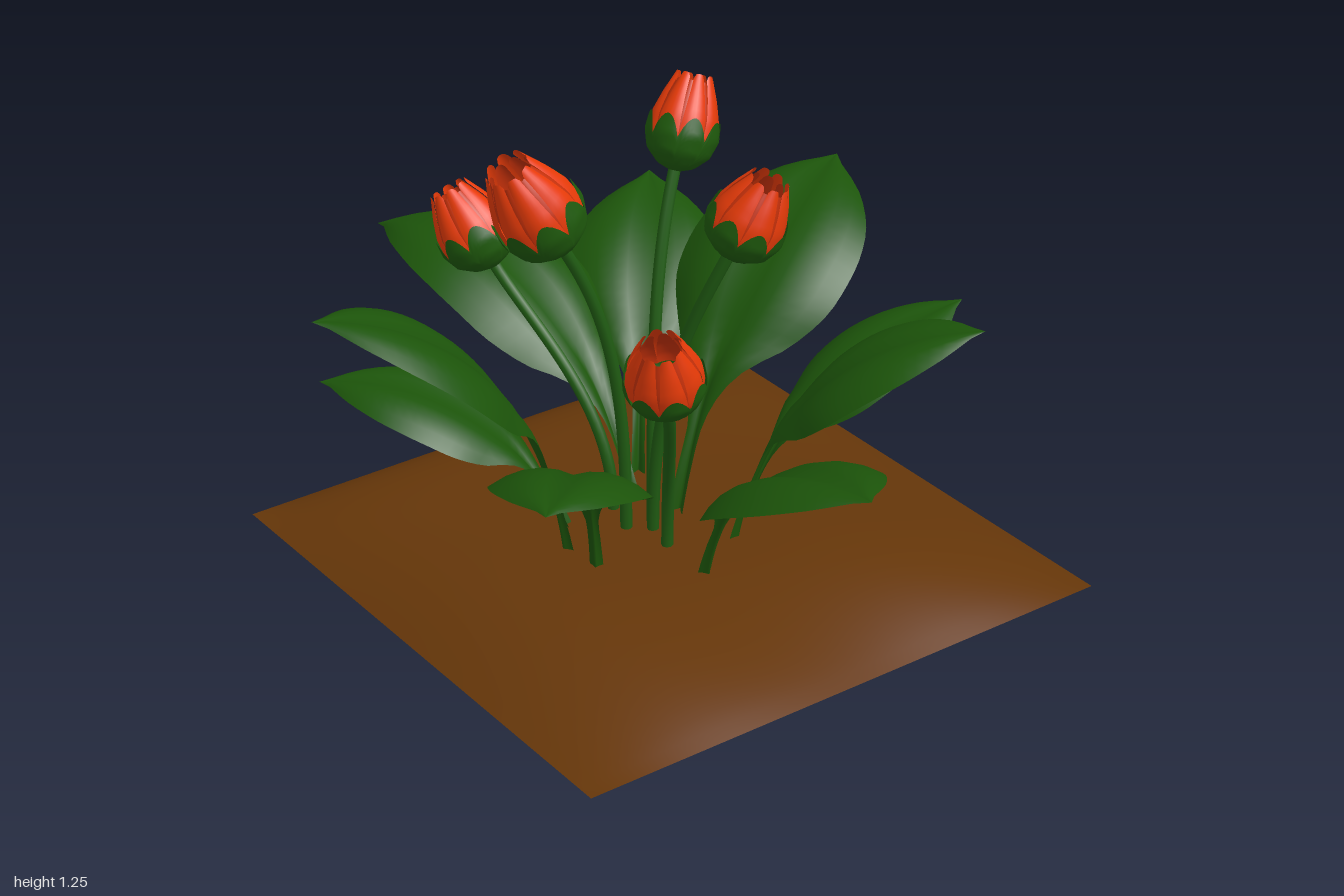
import * as THREE from 'three';

const V = (x, y, z) => new THREE.Vector3(x, y, z);
const mat = (color) => new THREE.MeshStandardMaterial({ color, side: THREE.DoubleSide });
const leafGreen = mat(0x1c540a), stemGreen = mat(0x1f5a12), sepalGreen = mat(0x1e580c);
const petalOuter = mat(0xe63a08), petalInner = mat(0xc4300a), yellow = mat(0xd0a810), brown = mat(0x653609);

// Smooth grid surface from a rule fn(u, v) -> point
function sheet(nu, nv, fn) {
  const pos = [], idx = [];
  for (let j = 0; j <= nv; j++)
    for (let i = 0; i <= nu; i++) pos.push(...fn(i / nu, j / nv).toArray());
  for (let j = 0; j < nv; j++)
    for (let i = 0; i < nu; i++) {
      const a = j * (nu + 1) + i, b = a + 1, c = a + nu + 1, d = c + 1;
      idx.push(a, c, b, b, c, d);
    }
  const g = new THREE.BufferGeometry();
  g.setAttribute('position', new THREE.Float32BufferAttribute(pos, 3));
  g.setIndex(idx);
  g.computeVertexNormals();
  return g;
}

function mesh(geo, material, name) {
  const m = new THREE.Mesh(geo, material);
  m.name = name;
  return m;
}

// Soil mound: flat square edge, uneven raised middle, steeper on one side
const SX = 0.045, SZ = -0.06, HALF = 0.788;
function soil() {
  const g = new THREE.Group();
  g.name = 'soil';
  g.add(mesh(sheet(40, 40, (u, v) => {
    const a = u * 2 - 1, b = v * 2 - 1;
    const x = SX + a * HALF, z = SZ + b * HALF;
    const edge = (1 - Math.abs(a) ** (a < 0 ? 7 : 4.5)) * (1 - Math.abs(b) ** 4.5);
    const bumps = 0.088 + 0.01 * Math.sin(5 * x + 2 * z) + 0.012 * Math.cos(8 * (z - 0.5) + 1.5 * x);
    return V(x, edge * bumps, z);
  }), brown, 'soilTop'));
  const base = mesh(new THREE.PlaneGeometry(HALF * 2, HALF * 2), brown, 'soilBottom');
  base.rotation.x = Math.PI / 2;
  base.position.set(SX, 0, SZ);
  g.add(base);
  return g;
}

// Relative leaf width along the midrib: narrow stalk, broad blade, pointed tip
const leafWidth = new THREE.SplineCurve(
  [0.09, 0.08, 0.1, 0.29, 0.68, 0.93, 1, 0.97, 0.82, 0.5, 0].map((w, i) => new THREE.Vector2(w, i / 10)));

// Arching leaf: channelled stalk, grooved midrib, drooping edges.
// bulge lifts the arch, bend shifts it sideways
function leaf(base, tip, width, bulge, bend = 0) {
  const b = V(...base), t = V(...tip);
  const run = V(t.x - b.x, 0, t.z - b.z), rise = t.y - b.y;
  const side = V(0, 1, 0).cross(run).normalize();
  const p1 = b.clone().add(V(run.x * 0.1, rise * 0.6, run.z * 0.1)).addScaledVector(side, bend / 2);
  const p2 = b.clone().add(V(run.x * 0.5, rise + bulge, run.z * 0.5)).addScaledVector(side, bend);
  const rib = new THREE.CubicBezierCurve3(b, p1, p2, t);
  return mesh(sheet(10, 28, (u, v) => {
    const s = u * 2 - 1, w = leafWidth.getPoint(v).x * width / 2;
    const up = rib.getTangent(v).cross(side).normalize();
    const fold = 0.4 + 1.4 * Math.max(0, 1 - v / 0.4);
    return rib.getPoint(v).addScaledVector(side, s * w)
      .addScaledVector(up, w * (fold * Math.abs(s) - 0.6 * s * s));
  }), leafGreen, 'leaf');
}

// Bud outline: radius against height, for a bud 0.25 tall
const budProfile = [[0, 0.012], [0.012, 0.048], [0.045, 0.085], [0.09, 0.101],
  [0.14, 0.097], [0.19, 0.08], [0.25, 0.053]];
function budRadius(h) {
  let i = 0;
  while (i < budProfile.length - 2 && h > budProfile[i + 1][0]) i++;
  const [h0, r0] = budProfile[i], [h1, r1] = budProfile[i + 1];
  return r0 + (r1 - r0) * (h - h0) / (h1 - h0);
}
const onBud = (angle, h, offset) => {
  const r = Math.max(budRadius(h) + offset, 0);
  return V(r * Math.cos(angle), h, r * Math.sin(angle));
};

function bud() {
  const g = new THREE.Group();
  g.name = 'bud';
  // Green cup with eight rounded sepals
  g.add(mesh(sheet(64, 12, (u, v) => {
    const a = u * Math.PI * 2;
    return onBud(a, v * (0.085 + 0.055 * Math.abs(Math.sin(4 * a)) ** 0.8), 0.003);
  }), sepalGreen, 'sepals'));
  // Two overlapping rings of eight blunt petals
  for (let ring = 0; ring < 2; ring++)
    for (let k = 0; k < 8; k++) {
      const mid = (k + (ring ? 0 : 0.5)) * Math.PI / 4;
      g.add(mesh(sheet(6, 10, (u, v) => {
        const s = u * 2 - 1;
        const h = 0.07 + v * (0.18 - 0.018 * ring - 0.012 * s ** 4);
        return onBud(mid + s * 0.41 * (1 - 0.3 * v), h, -0.002 - ring * 0.009 - 0.005 * s * s);
      }), ring ? petalInner : petalOuter, ring ? 'innerPetal' : 'outerPetal'));
    }
  // Yellow heart deep inside the petals
  const heart = mesh(new THREE.ConeGeometry(0.06, 0.05, 6), yellow, 'heart');
  heart.position.y = 0.105;
  g.add(heart);
  return g;
}

// Curved stem carrying a bud that points from bottom to top
function flower(root, bottom, top, width) {
  const g = new THREE.Group();
  g.name = 'flower';
  const r = V(...root), b = V(...bottom), axis = V(...top).sub(b), length = axis.length();
  axis.normalize();
  const rise = b.y - r.y;
  const path = new THREE.CubicBezierCurve3(r, r.clone().add(V(0, rise * 0.5, 0)),
    b.clone().addScaledVector(axis, -rise * 0.3), b.clone().addScaledVector(axis, 0.01));
  g.add(mesh(new THREE.TubeGeometry(path, 24, 0.016, 8), stemGreen, 'stem'));
  const head = bud();
  head.position.copy(b);
  head.quaternion.setFromUnitVectors(V(0, 1, 0), axis);
  head.scale.set(width / 0.2, length / 0.25, width / 0.2);
  g.add(head);
  return g;
}

export function createModel() {
  const model = new THREE.Group();
  model.name = 'floweringPlant';
  model.add(soil());

  // Leaves: base, tip, width, bulge, bend
  [
    [[0.32, 0.08, 0], [1, 0.645, 0.05], 0.43, -0.04],
    [[-0.1, 0.08, -0.05], [-1, 0.6, 0.15], 0.45, 0.22, -0.08],
    [[0, 0.08, 0.23], [-0.15, 0.87, 0.85], 0.41, -0.01, 0.05],
    [[0.13, 0.08, 0.22], [0.65, 0.67, 0.72], 0.39, -0.02],
    [[-0.1, 0.08, 0.16], [-0.57, 0.44, 0.6], 0.34, 0.08],
    [[-0.21, 0.08, -0.16], [-0.74, 0.66, -0.58], 0.42, -0.02],
    [[0.02, 0.08, -0.13], [-0.25, 0.82, -0.85], 0.49, 0.02, -0.03],
    [[0.14, 0.08, -0.26], [0.28, 0.6, -0.85], 0.32, -0.02, -0.04],
    [[0.23, 0.08, -0.16], [0.69, 0.77, -0.56], 0.39, -0.03],
  ].forEach((args) => model.add(leaf(...args)));

  // Flowers: root, bud bottom, bud top, bud width
  [
    [[0, 0.08, 0.03], [-0.035, 0.93, 0.2], [-0.05, 1.18, 0.35], 0.225],
    [[0.02, 0.08, -0.04], [-0.11, 1.0, -0.2], [-0.16, 1.225, -0.3], 0.185],
    [[0.05, 0.08, -0.02], [0.24, 0.93, -0.11], [0.31, 1.14, -0.18], 0.2],
    [[0.14, 0.08, 0], [0.355, 0.65, 0.16], [0.42, 0.86, 0.23], 0.2],
    [[-0.1, 0.08, 0], [-0.43, 0.7, 0.14], [-0.54, 0.9, 0.21], 0.2],
  ].forEach((args) => model.add(flower(...args)));

  return model;
}
